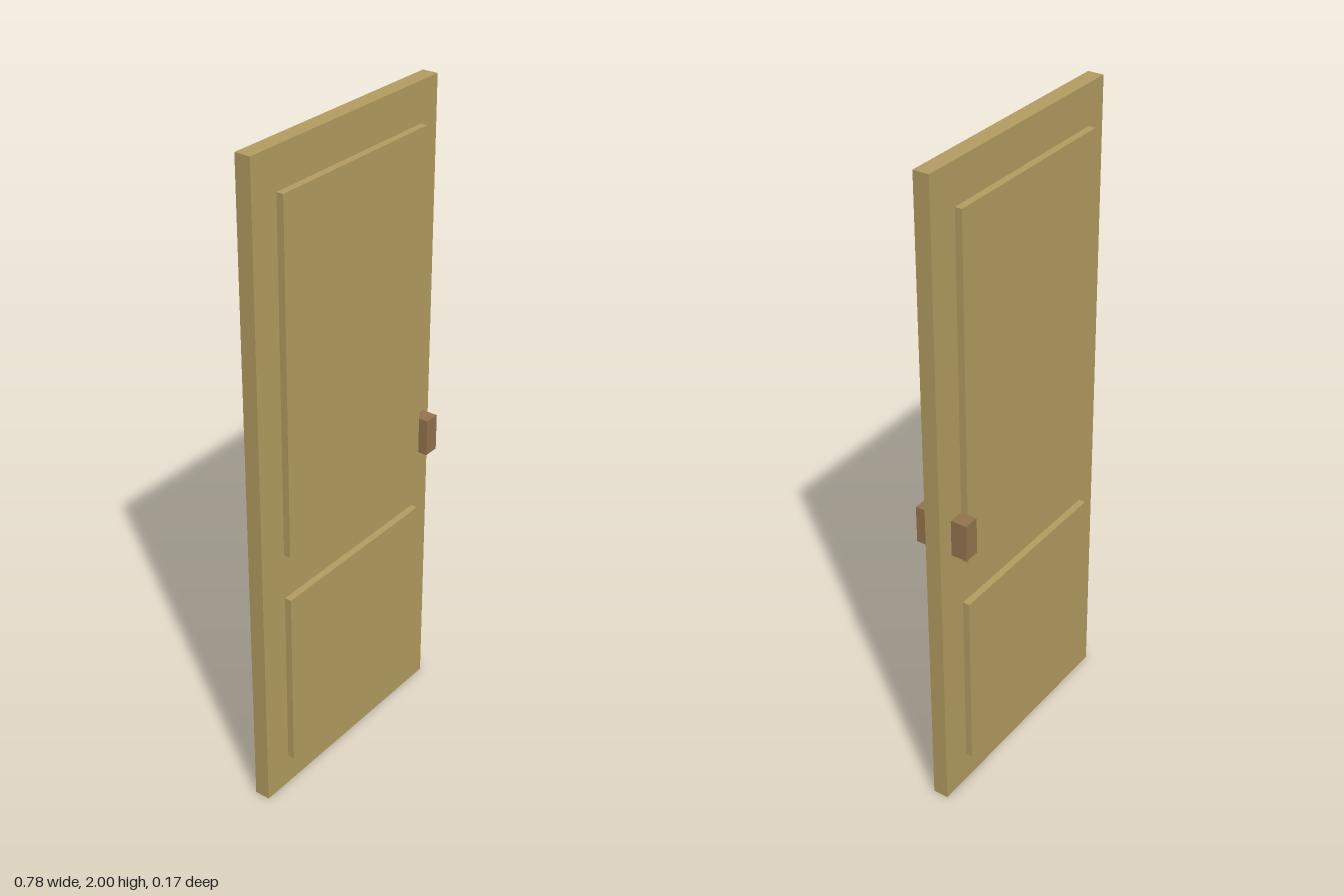
import * as THREE from 'three';

export function createModel() {
  const door = new THREE.Group();
  door.name = 'door';

  const wood = new THREE.MeshStandardMaterial({ color: 0xb59e62 });
  wood.name = 'light wood';
  const brown = new THREE.MeshStandardMaterial({ color: 0x94754f });
  brown.name = 'brown handle';

  // Box given by its minimum and maximum corners
  function box(name, material, [x0, y0, z0], [x1, y1, z1]) {
    const mesh = new THREE.Mesh(new THREE.BoxGeometry(x1 - x0, y1 - y0, z1 - z0), material);
    mesh.position.set((x0 + x1) / 2, (y0 + y1) / 2, (z0 + z1) / 2);
    mesh.name = name;
    door.add(mesh);
  }

  // Main slab
  box('slab', wood, [-0.389, 0, -0.024], [0.389, 2, 0.024]);

  // Panels and handle stand just clear of the slab on both faces
  for (const [side, s] of [['front', 1], ['back', -1]]) {
    const span = (near, far) => (s > 0 ? [near, far] : [-far, -near]);
    const [p0, p1] = span(0.033, 0.054);
    const [h0, h1] = span(0.033, 0.083);
    box(side + 'UpperPanel', wood, [-0.305, 0.826, p0], [0.302, 1.886, p1]);
    box(side + 'LowerPanel', wood, [-0.305, 0.112, p0], [0.302, 0.682, p1]);
    box(side + 'Handle', brown, [0.301, 0.876, h0], [0.35, 0.99, h1]);
  }

  return door;
}
